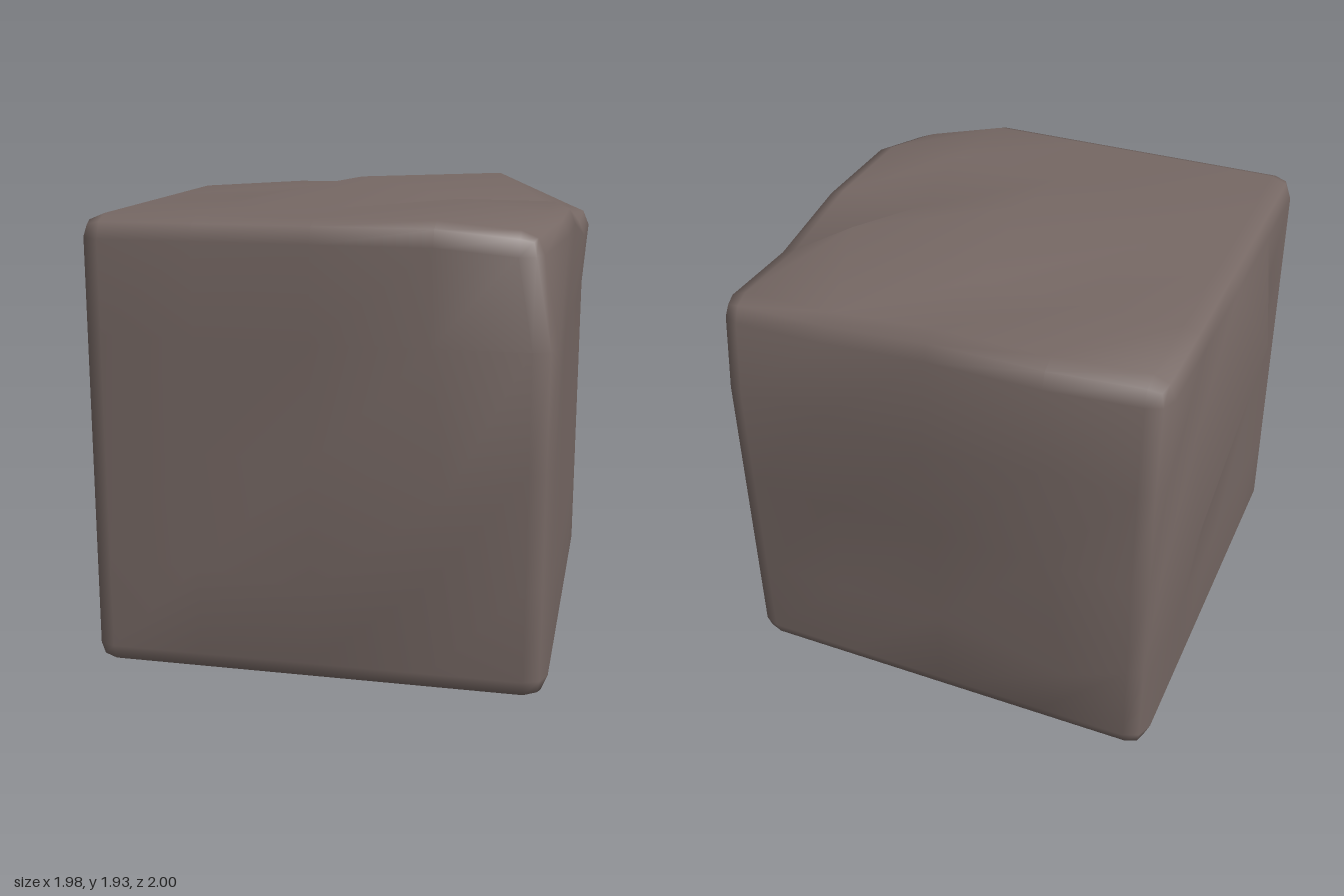
import * as THREE from 'three';
import { mergeVertices } from 'three/addons/utils/BufferGeometryUtils.js';

const HALF = 0.92, BEVEL = 0.09, INNER = HALF - BEVEL;
const CENTRE = new THREE.Vector3(0.04, 0.92, 0.005);

// Even grid line (0..6) -> position, with narrow rows beside the edges
const LINES = [-HALF, -INNER, -0.46, 0, 0.46, INNER, HALF];
// Grid line -> coarse cell corner (-2..2); edge rows share the corner of the rim
const CELL = [-2, -2, -1, 0, 1, 2, 2];

// Chips and bulges: coarse grid corner -> offset of the vertices there
const DENTS = {
  // chipped corners and edges
  '2,2,2': [-0.07, -0.04, -0.105],
  '2,2,-2': [0.025, -0.085, 0.07],
  '2,2,-1': [0.025, -0.095, 0.08],
  '1,2,-2': [0.02, -0.09, 0.08],
  '-2,2,-2': [0.02, -0.045, 0.095],
  // bulges on the top
  '0,2,0': [0.01, 0.09, -0.005],
  '1,2,-1': [0.1, 0.085, 0.055],
  '1,2,1': [0.02, 0.04, -0.06],
  // bulges on the sides
  '-2,1,0': [-0.11, 0.04, 0.155],
  '-2,0,-1': [-0.06, 0, -0.095],
  '1,0,2': [0.07, -0.09, 0.075],
  '0,-1,2': [0.01, -0.04, 0.06],
  '0,1,-2': [0, 0, -0.08],
  '-1,-1,-2': [-0.15, -0.02, -0.085],
};

function stoneGeometry() {
  let geo = new THREE.BoxGeometry(6, 6, 6, 6, 6, 6);
  geo.deleteAttribute('uv');
  geo.deleteAttribute('normal');
  geo.clearGroups();
  geo = mergeVertices(geo);

  const pos = geo.attributes.position;
  const v = new THREE.Vector3(), core = new THREE.Vector3();
  for (let i = 0; i < pos.count; i++) {
    const idx = [pos.getX(i), pos.getY(i), pos.getZ(i)].map((c) => Math.round(c + 3));
    v.set(...idx.map((k) => LINES[k]));
    // round the edges
    core.copy(v).clampScalar(-INNER, INNER);
    v.sub(core).setLength(BEVEL).add(core).add(CENTRE);
    // chip and bulge
    const dent = DENTS[idx.map((k) => CELL[k]).join(',')];
    if (dent) v.add(core.set(...dent));
    pos.setXYZ(i, v.x, v.y, v.z);
  }
  geo.computeVertexNormals();
  return geo;
}

export function createModel() {
  const group = new THREE.Group();
  group.name = 'stoneBlock';
  const stone = new THREE.MeshStandardMaterial({ color: 0x766864 });
  stone.name = 'warm grey stone';
  const block = new THREE.Mesh(stoneGeometry(), stone);
  block.name = 'block';
  group.add(block);
  return group;
}
